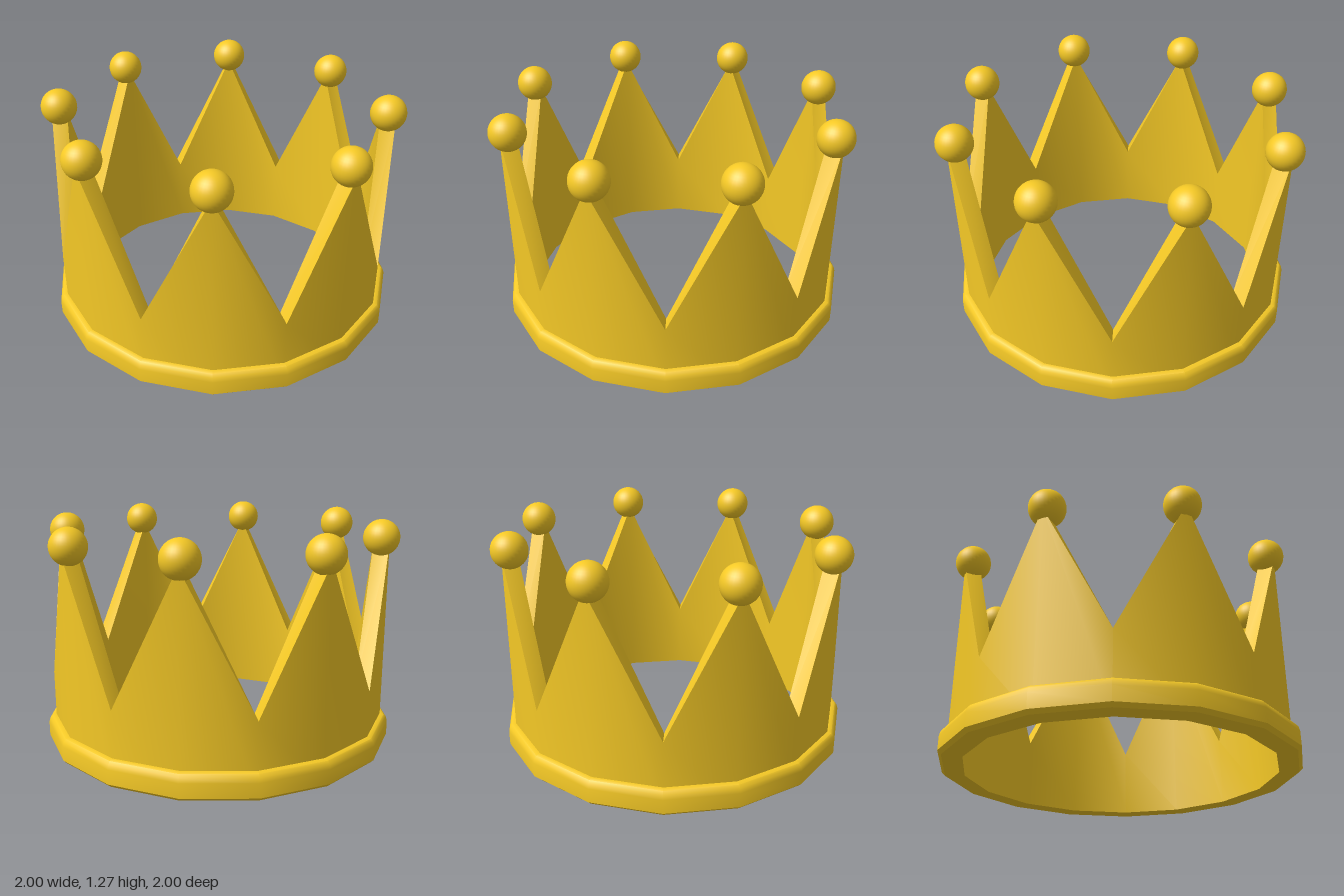
import * as THREE from 'three';
import { toCreasedNormals } from 'three/addons/utils/BufferGeometryUtils.js';

const SIDES = 16, CREASE = 0.6;
const OUTER = 0.957, INNER = 0.87, VALLEY = 0.4, PEAK = 1.14;

const lathe = (pairs) =>
  new THREE.LatheGeometry(pairs.map(([r, y]) => new THREE.Vector2(r, y)), SIDES);

export function createModel() {
  const crown = new THREE.Group();
  crown.name = 'crown';
  const gold = new THREE.MeshStandardMaterial({ color: 0xf5c926 });

  const add = (name, geometry) => {
    const mesh = new THREE.Mesh(geometry, gold);
    mesh.name = name;
    crown.add(mesh);
    return mesh;
  };

  // Wall: a thick ring whose top edge alternates between valleys and peaks
  const profile = [[INNER, 0], [OUTER, 0], [OUTER, 1], [INNER, 1], [INNER, 0]];
  const wall = lathe(profile);
  const pos = wall.attributes.position;
  for (let v = 0; v < pos.count; v++) {
    const column = Math.floor(v / profile.length);
    pos.setY(v, pos.getY(v) * (column % 2 ? PEAK : VALLEY));
  }
  add('wall', toCreasedNormals(wall, CREASE));

  // Rim band: bevelled below, rounded above
  const rim = lathe([
    [OUTER - 0.01, 0], [0.98, 0], [1, 0.02], [1, 0.1],
    [0.993, 0.125], [0.98, 0.14], [0.962, 0.145], [0.94, 0.145],
  ]);
  add('rimBand', toCreasedNormals(rim, CREASE));

  // A ball on every peak
  const ball = new THREE.SphereGeometry(0.1, 32, 20);
  for (let i = 1; i < SIDES; i += 2) {
    const angle = (i / SIDES) * Math.PI * 2;
    add('peakBall', ball).position.set(0.912 * Math.sin(angle), 1.168, 0.912 * Math.cos(angle));
  }
  return crown;
}
